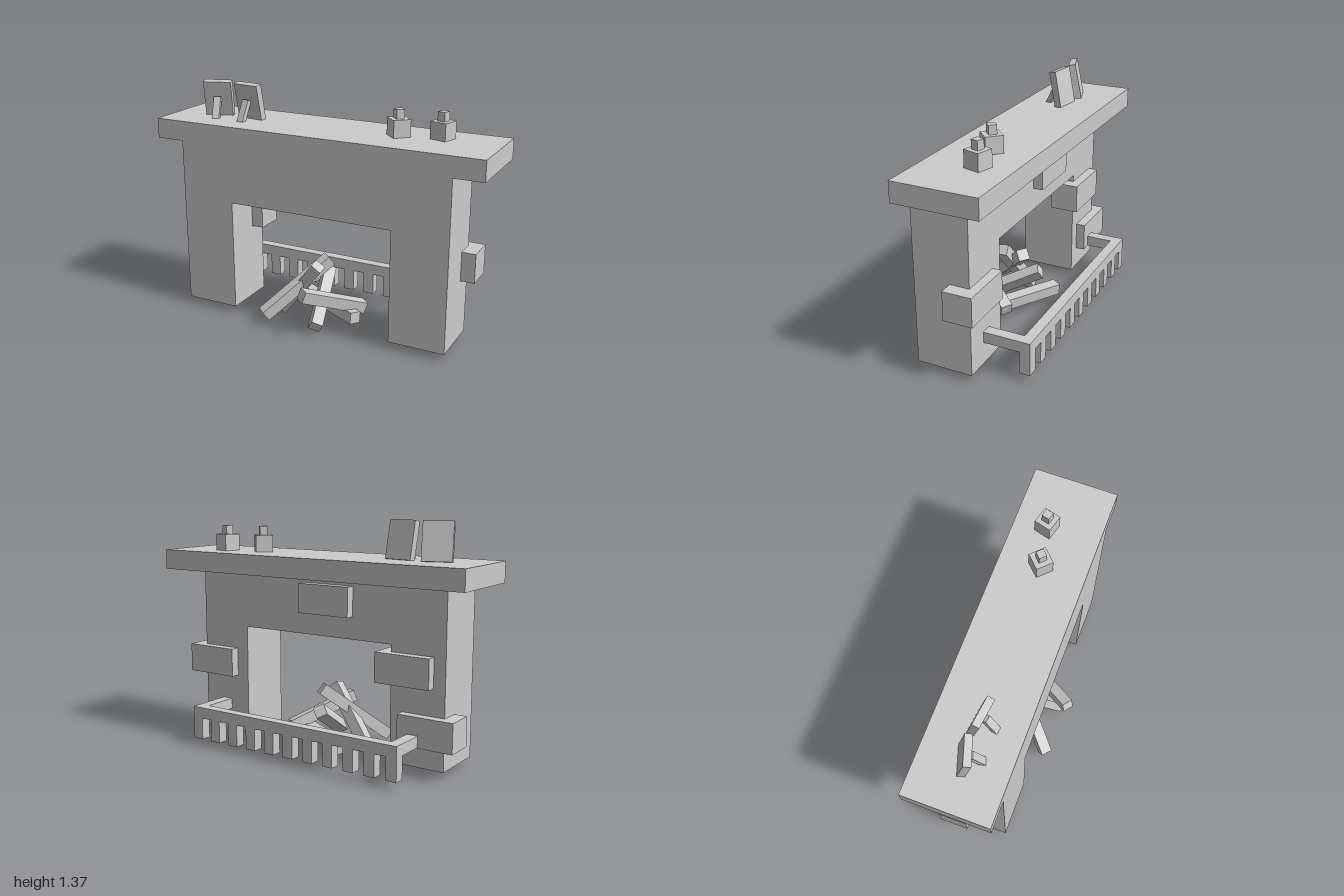
import * as THREE from 'three';

const material = new THREE.MeshStandardMaterial({ color: 0xcccccc, flatShading: true });

function add(parent, name, geometry) {
  const mesh = new THREE.Mesh(geometry, material);
  mesh.name = name;
  parent.add(mesh);
  return mesh;
}

// Box given by its min and max on each axis
function slab(parent, name, [x0, x1], [y0, y1], [z0, z1]) {
  const mesh = add(parent, name, new THREE.BoxGeometry(x1 - x0, y1 - y0, z1 - z0));
  mesh.position.set((x0 + x1) / 2, (y0 + y1) / 2, (z0 + z1) / 2);
  return mesh;
}

// Square log between two end centres, rolled about its own axis
function log(parent, from, to, roll) {
  const a = new THREE.Vector3(...from);
  const b = new THREE.Vector3(...to);
  const mesh = add(parent, 'log', new THREE.BoxGeometry(0.068, 0.068, a.distanceTo(b)));
  mesh.position.copy(a).add(b).multiplyScalar(0.5);
  mesh.lookAt(b);
  mesh.rotateZ(roll);
}

export function createModel() {
  const model = new THREE.Group();
  model.name = 'fireplace';

  // Surround: an upside-down U, open through to the back
  const outline = new THREE.Shape([
    [-0.83, 0.06], [-0.5, 0.06], [-0.5, 0.72], [0.5, 0.72],
    [0.5, 0.06], [0.83, 0.06], [0.83, 1.055], [-0.83, 1.055],
  ].map(([x, y]) => new THREE.Vector2(x, y)));
  const surround = add(model, 'surround',
    new THREE.ExtrudeGeometry(outline, { depth: 0.33, bevelEnabled: false }));
  surround.position.z = -0.095;

  slab(model, 'mantelShelf', [-1, 1], [1.055, 1.172], [-0.255, 0.235]);

  // Bricks standing proud of the back: left edge and bottom of each
  for (const [x, y] of [[-0.253, 0.848], [-0.76, 0.51], [0.578, 0.41], [-0.905, 0.187]]) {
    slab(model, 'brick', [x, x + 0.332], [y, y + 0.17], [-0.15, 0.02]);
  }

  // Fence behind the opening
  const fence = new THREE.Group();
  fence.name = 'fence';
  model.add(fence);
  slab(fence, 'fenceRail', [-0.7, 0.697], [0.19, 0.255], [-0.37, -0.308]);
  for (const x of [-0.7, 0.632]) {
    slab(fence, 'fenceArm', [x, x + 0.065], [0.19, 0.255], [-0.308, -0.095]);
  }
  for (let i = 0; i < 11; i++) {
    const x = -0.7 + i * 0.1332;
    slab(fence, 'fencePicket', [x, x + 0.065], [0.06, 0.19], [-0.37, -0.308]);
  }

  // Heap of logs
  const logs = new THREE.Group();
  logs.name = 'logPile';
  model.add(logs);
  log(logs, [-0.265, 0.085, 0.29], [0.02, 0.385, 0.0], 0.1);
  log(logs, [0.01, 0.28, 0.335], [0.24, 0.125, 0.0], 0.1);
  log(logs, [0.07, 0.075, 0.285], [-0.03, 0.275, -0.09], 0.5);
  log(logs, [0.25, 0.105, 0.13], [-0.2, 0.09, -0.12], 0.1);
  log(logs, [-0.255, 0.045, 0.08], [0.015, 0.385, 0.14], 0.3);

  // Small square jars
  for (const [x, z, turn] of [[0.427, -0.02, Math.PI / 4], [0.663, -0.068, -0.27]]) {
    const jar = new THREE.Group();
    jar.name = 'jar';
    jar.position.set(x, 1.17, z);
    jar.rotation.y = turn;
    model.add(jar);
    slab(jar, 'jarBody', [-0.05, 0.05], [0, 0.1], [-0.05, 0.05]);
    slab(jar, 'jarLid', [-0.023, 0.023], [0.1, 0.152], [-0.023, 0.023]);
  }

  // Picture frames facing the back, each with a strut
  for (const [x, z, turn] of [[-0.722, -0.005, 0.32], [-0.508, -0.005, -0.12]]) {
    const frame = new THREE.Group();
    frame.name = 'pictureFrame';
    frame.position.set(x, 1.17, z);
    frame.rotation.y = turn;
    model.add(frame);
    const panel = add(frame, 'framePanel', new THREE.BoxGeometry(0.166, 0.215, 0.042));
    panel.position.y = 0.106;
    panel.rotation.x = 0.2;
    const strut = add(frame, 'frameStrut', new THREE.BoxGeometry(0.042, 0.14, 0.03));
    strut.position.set(0, 0.052, 0.06);
    strut.rotation.x = -0.46;
  }

  return model;
}
